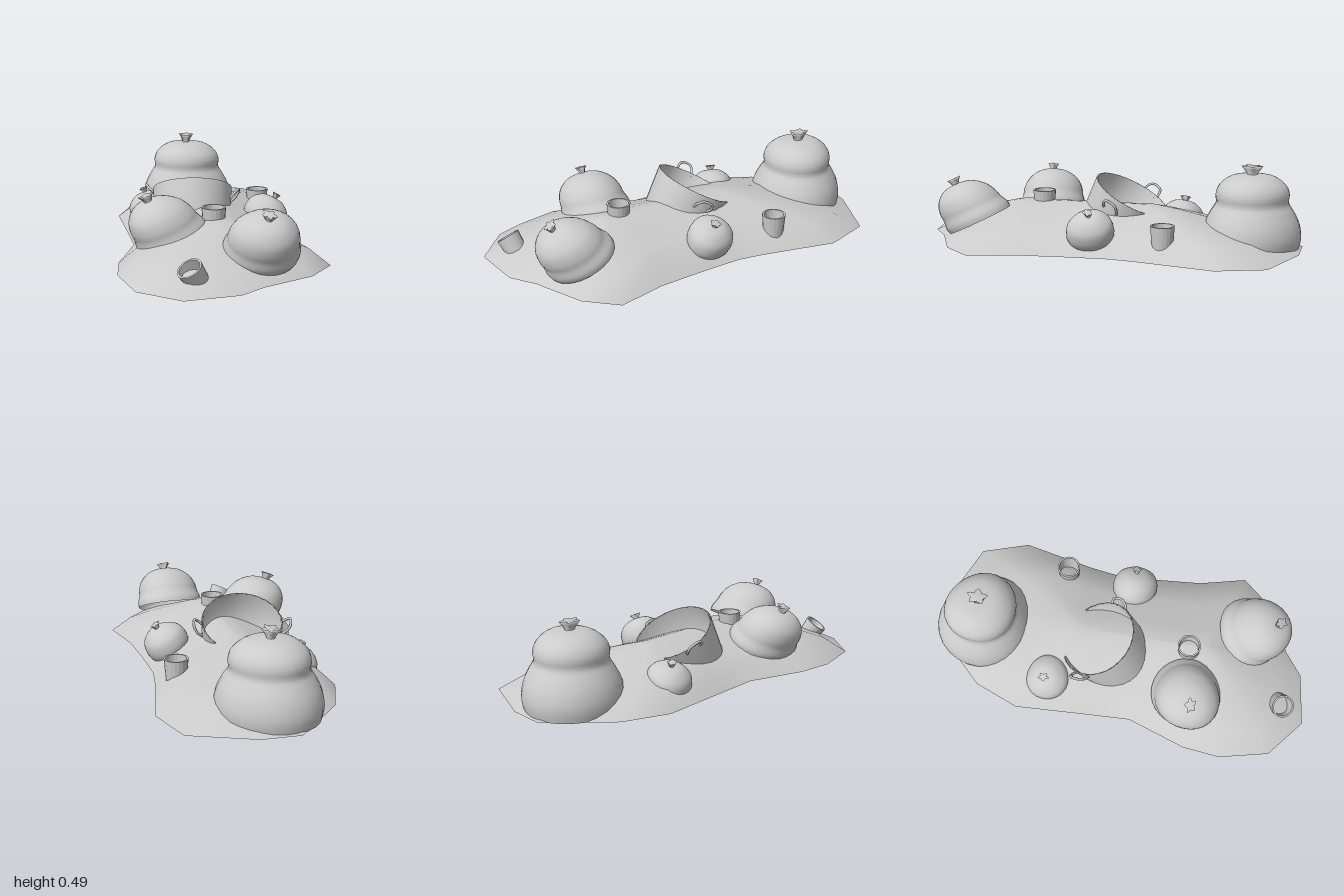
import * as THREE from 'three';
import { mergeVertices } from 'three/addons/utils/BufferGeometryUtils.js';

const material = new THREE.MeshStandardMaterial({ color: 0xcccccc, side: THREE.DoubleSide });

function part(name, geometry, parent) {
  const mesh = new THREE.Mesh(geometry, material);
  mesh.name = name;
  parent.add(mesh);
  return mesh;
}

function smooth(geometry) {
  geometry.deleteAttribute('uv');
  geometry.deleteAttribute('normal');
  const merged = mergeVertices(geometry, 1e-4);
  merged.computeVertexNormals();
  return merged;
}

const points = (list) => list.map(([x, y]) => new THREE.Vector2(x, y));

// Open-bottomed hill: the outline shrinks in rings onto a central ridge
function moundGeometry() {
  const outline = [
    [-0.07, -1], [0.12, -0.99], [0.43, -0.86], [0.51, -0.62], [0.43, -0.24], [0.41, -0.1],
    [0.42, 0.12], [0.44, 0.36], [0.5, 0.6], [0.37, 0.75], [0.12, 0.87], [0, 0.96], [-0.26, 0.995],
    [-0.45, 0.84], [-0.51, 0.59], [-0.49, 0.4], [-0.39, 0.1], [-0.4, -0.12], [-0.42, -0.5], [-0.33, -0.73],
  ];
  // Distance from the ridge, height towards the ends, height towards the sides
  const rings = [
    [0, 1, 1], [0.1, 0.98, 0.98], [0.22, 0.89, 0.9], [0.4, 0.71, 0.76],
    [0.6, 0.5, 0.61], [0.8, 0.28, 0.41], [1, 0, 0],
  ];
  const n = outline.length;
  const pos = [];
  const index = [];
  rings.forEach(([t, endH, sideH], r) => outline.forEach(([x, z], i) => {
    const ridge = THREE.MathUtils.clamp(z, -0.2, 0.42);
    const h = THREE.MathUtils.lerp(endH, sideH, THREE.MathUtils.smoothstep(Math.abs(x), 0.2, 0.42));
    pos.push(x * t, 0.07 + 0.195 * h, ridge + (z - ridge) * t);
    if (r === 0) return;
    const next = (i + 1) % n;
    const a = (r - 1) * n + i, b = (r - 1) * n + next, c = r * n + next, d = r * n + i;
    index.push(a, b, c, a, c, d);
  }));
  const g = new THREE.BufferGeometry();
  g.setAttribute('position', new THREE.Float32BufferAttribute(pos, 3));
  g.setIndex(index);
  return smooth(g);
}

// Slightly lumpy cloth body turned from a profile, its top slumping sideways
function sackGeometry(profile, phase, [leanX, leanZ]) {
  const curve = new THREE.SplineCurve(points(profile));
  const pts = curve.getPoints(24);
  pts.forEach((p) => { p.x = Math.max(p.x, 0); });
  const g = new THREE.LatheGeometry(pts, 28);
  const p = g.attributes.position;
  for (let i = 0; i < p.count; i++) {
    const x = p.getX(i), y = p.getY(i), z = p.getZ(i);
    const a = Math.atan2(z, x);
    const k = 1 + 0.025 * Math.sin(2 * a + phase) + 0.02 * Math.sin(3 * a + 2 * phase);
    p.setX(i, x * k + leanX * y);
    p.setZ(i, z * k + leanZ * y);
  }
  return smooth(g);
}

// Flared, pleated gathering of cloth above the tie
function knotGeometry() {
  const g = new THREE.LatheGeometry(points([[0.034, -0.015], [0.026, 0], [0.028, 0.008], [0.036, 0.028], [0.045, 0.044], [0, 0.028]]), 20);
  const p = g.attributes.position;
  for (let i = 0; i < p.count; i++) {
    const x = p.getX(i), z = p.getZ(i);
    const pleat = 1 + 0.28 * Math.cos(5 * Math.atan2(z, x)) * THREE.MathUtils.clamp(p.getY(i) / 0.035, 0, 1);
    p.setX(i, x * pleat * 0.75);
    p.setZ(i, z * pleat);
  }
  return smooth(g);
}

// Open tapered cup with a thin wall
function cupGeometry() {
  const g = new THREE.LatheGeometry(points([[0.044, -0.025], [0.05, -0.025], [0.06, 0.1], [0.051, 0.1], [0.044, -0.025]]), 18).toNonIndexed();
  g.computeVertexNormals();
  return g;
}

export function createModel() {
  const model = new THREE.Group();
  model.name = 'supplyMound';
  part('mound', moundGeometry(), model);

  // Sacks: position, tilt about x and z, slump, knot size
  const large = [[0.24, 0], [0.25, 0.06], [0.237, 0.13], [0.207, 0.19], [0.183, 0.23], [0.186, 0.275], [0.167, 0.32], [0.115, 0.36], [0.05, 0.373], [0, 0.373]];
  const medium = [[0.176, 0], [0.178, 0.03], [0.166, 0.07], [0.161, 0.11], [0.14, 0.16], [0.095, 0.202], [0.045, 0.22], [0, 0.222]];
  const small = [[0.098, 0], [0.112, 0.03], [0.116, 0.065], [0.104, 0.11], [0.065, 0.145], [0.025, 0.156], [0, 0.156]];
  const sacks = [
    ['backSack', large, [0, 0.07, -0.742], 0, 0, [0, 0], 1],
    ['frontSack', medium, [0.155, 0.175, 0.645], 0.45, 0, [0, 0.2], 0.72],
    ['rightSack', medium, [-0.225, 0.176, 0.37], 0.08, 0.36, [-0.2, 0.05], 0.72],
    ['smallLeftSack', small, [0.285, 0.13, 0.015], 0, -0.5, [0, 0], 0.55],
    ['smallRightSack', small, [-0.235, 0.09, -0.345], -0.1, 0.32, [0, 0], 0.55],
  ];
  sacks.forEach(([name, profile, pos, tiltX, tiltZ, lean, knotSize], i) => {
    const sack = new THREE.Group();
    sack.name = name;
    sack.position.set(...pos);
    sack.rotation.set(tiltX, 0, tiltZ);
    part('sackBody', sackGeometry(profile, i * 1.7 + 0.4, lean), sack);
    const knot = part('sackKnot', knotGeometry(), sack);
    const top = profile[profile.length - 1][1];
    knot.position.set(lean[0] * top, top, lean[1] * top);
    knot.rotation.y = i * 0.8;
    knot.scale.setScalar(knotSize);
    model.add(sack);
  });

  // Tilted, half-buried cooking pot with two loop handles
  const pot = new THREE.Group();
  pot.name = 'cookingPot';
  pot.position.set(-0.07, 0.083, 0);
  pot.rotation.set(-0.49, 0, -0.06);
  const wall = [[0, 0], [0.178, 0], [0.19, 0.01], [0.209, 0.25], [0.2, 0.25], [0.18, 0.015], [0, 0.015]];
  part('potBody', new THREE.LatheGeometry(points(wall), 28), pot);
  for (const side of [-1, 1]) {
    const loop = new THREE.CatmullRomCurve3([
      [0.198, 0.18, -0.04], [0.225, 0.205, -0.042], [0.243, 0.23, -0.025],
      [0.243, 0.23, 0.025], [0.225, 0.205, 0.042], [0.198, 0.18, 0.04],
    ].map(([x, y, z]) => new THREE.Vector3(side * x, y, z)));
    const handle = part('potHandle', new THREE.TubeGeometry(loop, 20, 0.007, 6), pot);
    handle.position.y = side < 0 ? 0.05 : 0;
    handle.rotation.y = side < 0 ? -0.3 : -0.22;
  }
  model.add(pot);

  // Cups
  const cups = [
    ['backCup', [0.345, 0.135, -0.35], 0, 0],
    ['middleCup', [-0.02, 0.215, 0.35], 0, 0],
    ['frontCup', [-0.17, 0.095, 0.845], 0.35, 0.5],
  ];
  for (const [name, pos, tiltX, tiltZ] of cups) {
    const cup = part(name, cupGeometry(), model);
    cup.position.set(...pos);
    cup.rotation.set(tiltX, 0, tiltZ);
  }
  return model;
}
